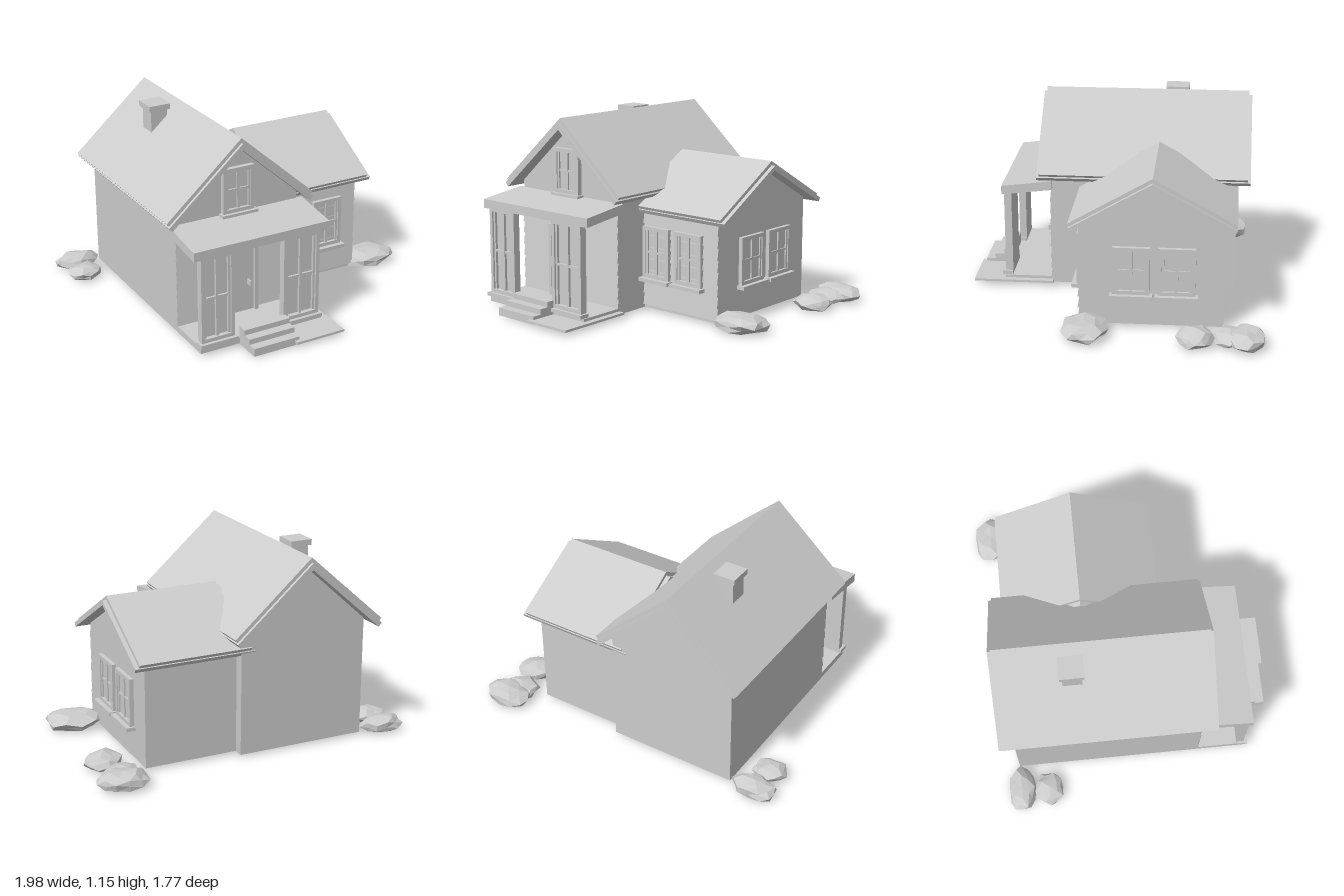
import * as THREE from 'three';

const paint = new THREE.MeshStandardMaterial({ color: 0xcccccc });
paint.name = 'light grey';

function add(parent, name, geometry) {
  const m = new THREE.Mesh(geometry, paint);
  m.name = name;
  parent.add(m);
  return m;
}

// Box given by its limits on each axis
function block(parent, name, x0, x1, y0, y1, z0, z1) {
  const m = add(parent, name, new THREE.BoxGeometry(x1 - x0, y1 - y0, z1 - z0));
  m.position.set((x0 + x1) / 2, (y0 + y1) / 2, (z0 + z1) / 2);
  return m;
}

// Cross-section in x-y, extruded from z0 to z1
function prism(parent, name, pts, z0, z1) {
  const shape = new THREE.Shape(pts.map(p => new THREE.Vector2(p[0], p[1])));
  const g = new THREE.ExtrudeGeometry(shape, { depth: z1 - z0, bevelEnabled: false });
  g.translate(0, 0, z0);
  return add(parent, name, g);
}

// Chevron roof layer: ridge at (cx, h), eaves e to each side, falling by the two drops
function roofLayer(parent, name, cx, h, e, dropL, dropR, t, z0, z1) {
  const eave = (s, drop) => {
    const len = Math.hypot(e, drop);
    return [[cx + s * e, h - drop], [cx + s * (e - t * drop / len), h - drop - t * e / len]];
  };
  const [lt, lb] = eave(-1, dropL), [rt, rb] = eave(1, dropR);
  const mid = h - t * Math.hypot(e, dropR) / e;
  return prism(parent, name, [[cx, h], lt, lb, [cx, mid], rb, rt], z0, z1);
}

// Framed window facing +z, with its back at the origin plane and its base at y = 0
function makeWindow(name, w, h, depth, sill) {
  const g = new THREE.Group();
  g.name = name;
  const f = 0.022, d = depth;
  block(g, 'pane', -w / 2 + f, w / 2 - f, f, h - f, 0, d * 0.4);
  for (const s of [-1, 1]) {
    const x = s * (w / 2 - f / 2);
    block(g, 'sideFrame', x - f / 2, x + f / 2, 0, h, 0, d);
    // sash edge inside the frame
    const xi = s * (w / 2 - f * 1.3);
    block(g, 'sash', xi - f * 0.3, xi + f * 0.3, f, h - f, 0, d * 0.75);
  }
  block(g, 'topFrame', -w / 2 + f, w / 2 - f, h - f, h, 0, d);
  block(g, 'bottomFrame', -w / 2 + f, w / 2 - f, 0, f, 0, d);
  block(g, 'verticalBar', -0.008, 0.008, f, h - f, 0, d * 0.75);
  block(g, 'crossBar', -w / 2 + f, w / 2 - f, h / 2 - 0.007, h / 2 + 0.007, 0, d * 0.7);
  block(g, 'sill', -w / 2 - 0.015, w / 2 + 0.015, -0.022, 0, 0, d + sill);
  return g;
}

function place(parent, obj, x, y, z, ry = 0) {
  obj.position.set(x, y, z);
  obj.rotation.y = ry;
  parent.add(obj);
}

// Overlapping boards, each leaning out at its foot
function siding(parent, name, x0, x1, y0, y1, z, n) {
  const g = new THREE.Group();
  g.name = name;
  const s = (y1 - y0) / n;
  for (let i = 0; i < n; i++) {
    const y = y0 + i * s;
    const m = prism(g, 'board', [[0, y], [0.012, y], [0.002, y + s], [0, y + s]], -x1, -x0);
    m.rotation.y = -Math.PI / 2;
  }
  g.position.z = z;
  parent.add(g);
}

// Faceted flat-bottomed boulder
function boulder(parent, x, z, rx, rz, top, seed) {
  const g = new THREE.IcosahedronGeometry(1, 1);
  const p = g.attributes.position;
  for (let i = 0; i < p.count; i++) {
    const a = p.getX(i), b = p.getY(i), c = p.getZ(i);
    const r = 0.93 + 0.1 * Math.sin(a * 5.1 + b * 3.7 + c * 4.3 + seed);
    p.setXYZ(i, a * r * rx, Math.max(0, top * (0.42 + 0.58 * b * r)), c * r * rz);
  }
  const flat = g.index ? g.toNonIndexed() : g;
  flat.computeVertexNormals();
  const m = add(parent, 'boulder', flat);
  m.position.set(x, 0.005, z);
}

export function createModel() {
  const house = new THREE.Group();
  house.name = 'house';

  // Main block with its gable facing the front
  const main = new THREE.Group();
  main.name = 'mainBlock';
  house.add(main);
  prism(main, 'mainWalls', [[-0.7, 0.02], [0.092, 0.02], [0.092, 0.735], [-0.306, 1.09], [-0.7, 0.735]], -0.71, 0.405);
  roofLayer(main, 'mainRoof', -0.31, 1.158, 0.472, 0.417, 0.417, 0.022, -0.77, 0.473);
  roofLayer(main, 'mainRoofTrim', -0.31, 1.13, 0.465, 0.411, 0.411, 0.03, -0.788, 0.49);
  siding(main, 'mainSiding', -0.7, 0.092, 0.04, 0.62, 0.405, 8);
  place(main, makeWindow('gableWindow', 0.2, 0.27, 0.03, 0.02), -0.305, 0.7, 0.404);

  // Chimney
  block(main, 'chimneyShaft', -0.505, -0.4, 0.8, 1.12, -0.385, -0.272);
  block(main, 'chimneyCap', -0.52, -0.385, 1.118, 1.152, -0.4, -0.257);

  // Side wing, its sections drawn looking along the wing
  const wing = new THREE.Group();
  wing.name = 'sideWing';
  wing.rotation.y = Math.PI / 2;
  house.add(wing);
  prism(wing, 'wingWalls', [[-0.175, 0.022], [0.65, 0.022], [0.65, 0.645], [0.242, 0.87], [-0.175, 0.635]], 0, 0.655);
  roofLayer(wing, 'wingRoof', 0.242, 0.925, 0.476, 0.277, 0.262, 0.022, 0.03, 0.71);
  roofLayer(wing, 'wingRoofTrim', 0.242, 0.9, 0.472, 0.272, 0.258, 0.025, 0.002, 0.735);
  siding(house, 'wingSiding', 0.092, 0.655, 0.04, 0.61, 0.175, 8);
  for (const x of [0.2, 0.445])
    place(house, makeWindow('wingFrontWindow', 0.2, 0.31, 0.03, 0.03), x, 0.215, 0.174);
  for (const z of [-0.12, -0.381])
    place(house, makeWindow('wingSideWindow', 0.215, 0.285, 0.026, 0.028), 0.654, 0.215, z, Math.PI / 2);

  // Front door
  const door = new THREE.Group();
  door.name = 'frontDoor';
  house.add(door);
  block(door, 'doorLeaf', -0.43, -0.2, 0.055, 0.485, 0.4, 0.432);
  for (const x of [-0.445, -0.21]) block(door, 'doorJamb', x, x + 0.022, 0.055, 0.5, 0.4, 0.452);
  block(door, 'doorHead', -0.445, -0.188, 0.48, 0.5, 0.4, 0.452);
  block(door, 'doorHandle', -0.254, -0.246, 0.23, 0.262, 0.43, 0.475);

  // Porch: floor, sloping roof, glazed screens and steps
  const porch = new THREE.Group();
  porch.name = 'porch';
  house.add(porch);
  block(porch, 'porchFloor', -0.7, 0.092, 0.02, 0.057, 0.4, 0.7);
  const pr = prism(porch, 'porchRoof', [[-0.705, 0.598], [-0.4, 0.635], [-0.4, 0.69], [-0.705, 0.652]], -0.737, 0.13);
  pr.rotation.y = Math.PI / 2;
  for (const [x, w] of [[-0.588, 0.21], [-0.047, 0.235]]) {
    const screen = makeWindow('porchScreen', w, 0.525, 0.045, 0.02);
    place(porch, screen, x, 0.08, 0.655);
  }
  for (let i = 0; i < 3; i++)
    block(porch, 'step', -0.45, -0.155, 0.012, 0.06 + i * 0.032, 0.69, 0.862 - i * 0.056);
  block(porch, 'walkway', -0.185, 0.13, 0.026, 0.04, 0.4, 0.888);

  // Boulders around the house
  boulder(house, 0.79, 0.14, 0.185, 0.145, 0.105, 0.4);
  boulder(house, 0.845, -0.785, 0.155, 0.115, 0.105, 1.9);
  boulder(house, 0.82, -0.69, 0.12, 0.1, 0.09, 3.1);
  boulder(house, 0.85, -0.495, 0.125, 0.115, 0.1, 4.6);
  boulder(house, -0.855, -0.705, 0.145, 0.09, 0.1, 2.5);
  boulder(house, -0.865, -0.535, 0.11, 0.095, 0.09, 5.7);

  return house;
}
